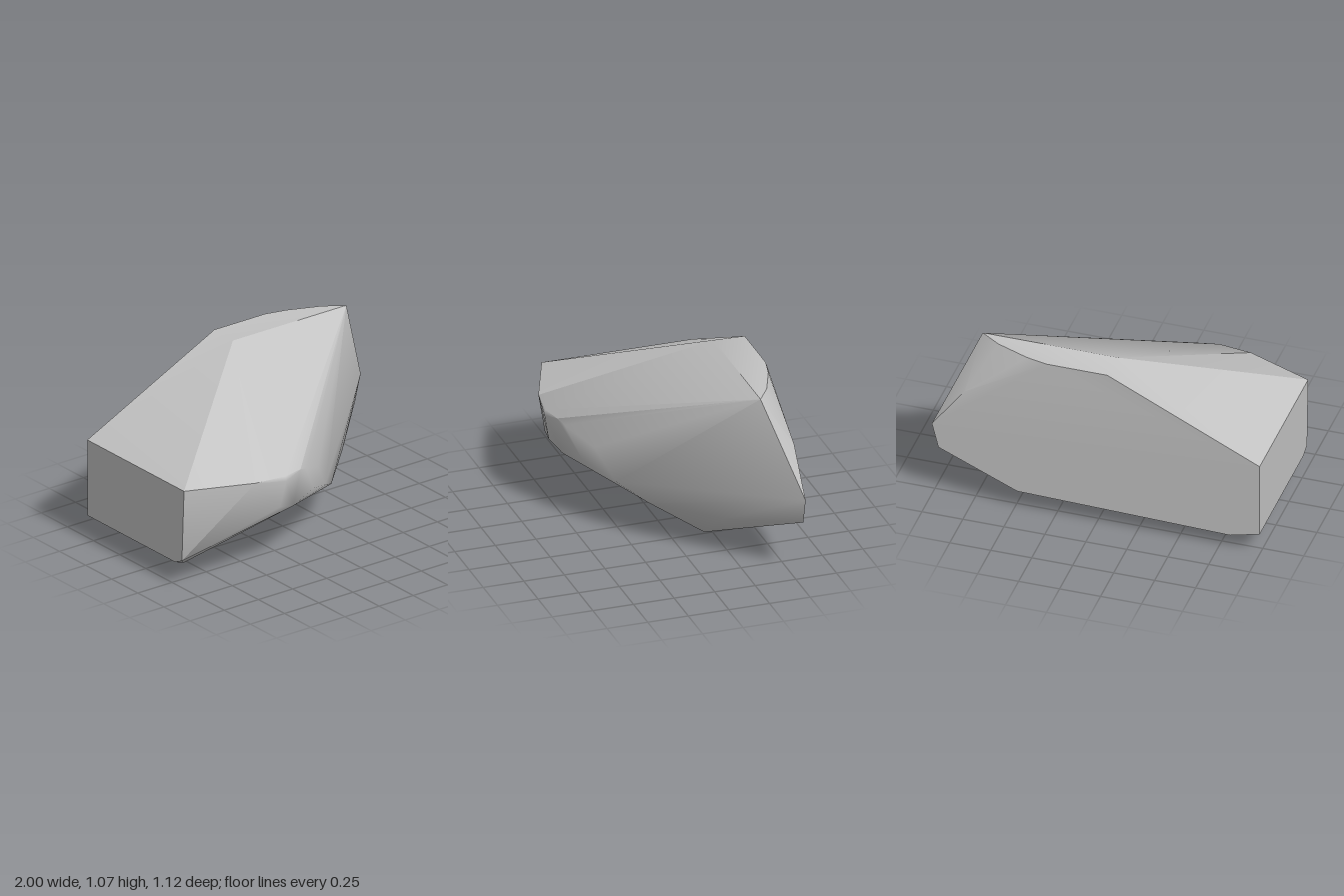
import * as THREE from 'three';
import { ConvexGeometry } from 'three/addons/geometries/ConvexGeometry.js';
import { toCreasedNormals } from 'three/addons/utils/BufferGeometryUtils.js';

const BACK = -0.56;

// corners on the flat cut at the back: [x, y]
const backCut = [
  [-1, 0.62], [-0.07, 1.07], [0.3, 1.07], [0.8, 0.77], [1, 0.5],
  [0.96, 0.34], [0.48, 0.13], [-0.82, 0.095], [-1, 0.14],
].map(([x, y]) => [x, y, BACK]);

// front rim of the flat top
const topRim = [[-0.08, 1.07, -0.37], [0.75, 1.07, -0.37], [0.63, 1.07, -0.45], [0.43, 1.07, -0.53]];

// ledge where the front slope turns down, from the flat left end
const ledge = [
  [-1, 0.62, 0.365], [-0.6, 0.62, 0.525], [-0.4, 0.62, 0.552],
  [-0.4, 0.59, 0.557], [-0.27, 0.62, 0.525], [-0.21, 0.6, 0.5], [-0.03, 0.52, 0.38],
];

// lower shoulder, running from the left end round to the right
const shoulder = [
  [-1, 0.17, 0.345], [-1, 0.14, 0.28], [-0.42, 0.42, 0.525], [-0.29, 0.38, 0.485],
  [-0.1, 0.42, 0.43], [0.09, 0.34, 0.29], [0.25, 0.25, 0.14], [0.59, 0.25, -0.2],
];

// points the stone rests on
const underside = [
  [-0.8, 0.018, 0.1], [-0.76, 0, 0.04], [-0.7, 0.045, -0.42],
  [0.25, 0.08, -0.1], [0.33, 0.05, -0.17],
];

// keeps the triangles of a hull whose flat normal passes a test
function pickFaces(hull, test) {
  const { position, normal } = hull.attributes;
  const kept = [];
  for (let i = 0; i < position.count; i += 3) {
    if (test(normal.getZ(i))) kept.push(...position.array.slice(i * 3, i * 3 + 9));
  }
  return new THREE.BufferGeometry().setAttribute('position', new THREE.Float32BufferAttribute(kept, 3));
}

export function createModel() {
  const group = new THREE.Group();
  group.name = 'boulder';

  const stone = new THREE.MeshStandardMaterial({ color: 0xc4c4c4 });
  stone.name = 'stone';

  const points = [backCut, topRim, ledge, shoulder, underside]
    .flat()
    .map((p) => new THREE.Vector3(...p));
  const hull = new ConvexGeometry(points);

  const addFaces = (name, test, crease) => {
    const mesh = new THREE.Mesh(toCreasedNormals(pickFaces(hull, test), crease), stone);
    mesh.name = name;
    group.add(mesh);
  };

  // softly worn front, and crisp cuts on the top, back, left end and base
  addFaces('wornFront', (nz) => nz > 0.05, 1.0);
  addFaces('cutFaces', (nz) => nz <= 0.05, 0.5);
  return group;
}
